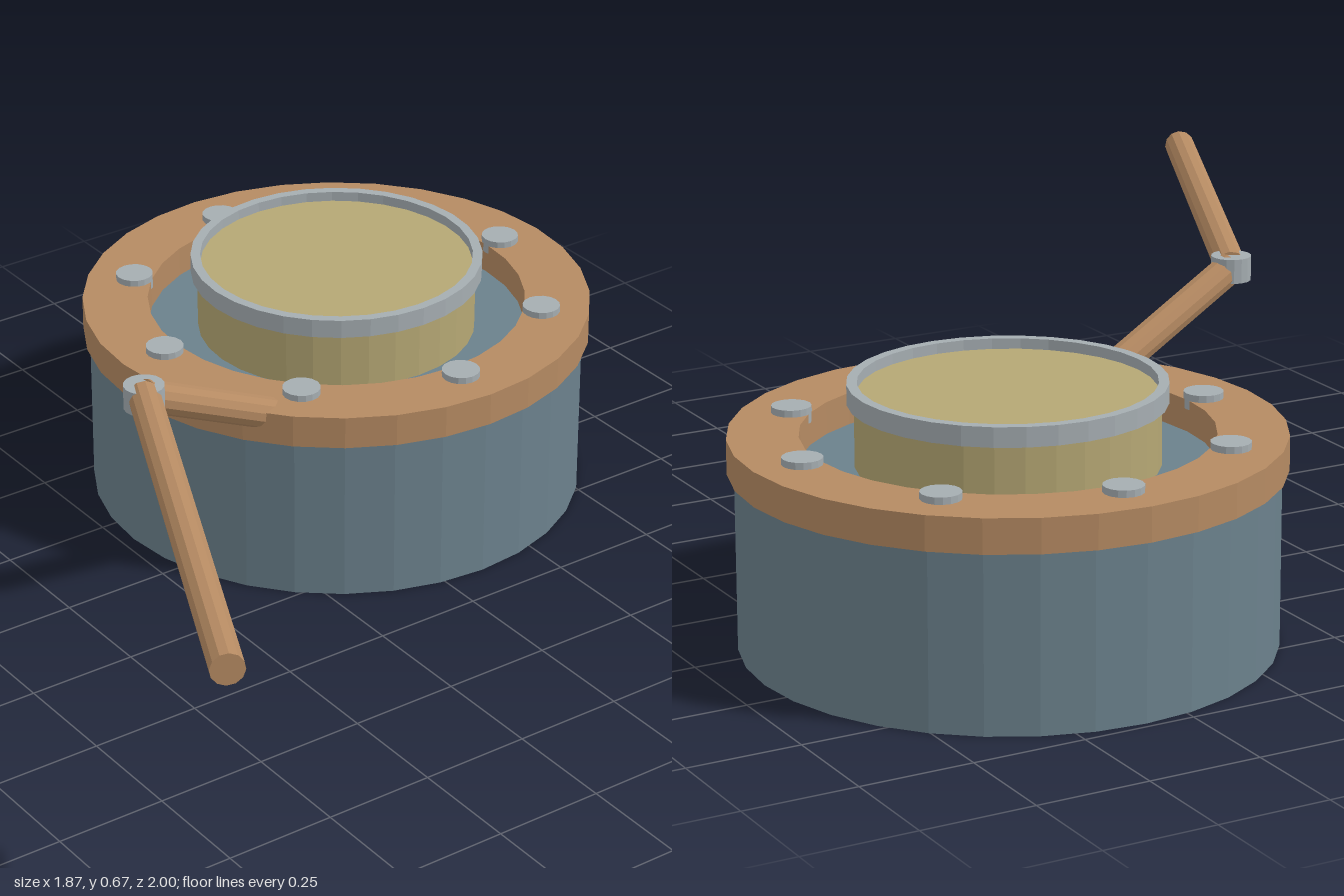
import * as THREE from 'three';

function material(name, color) {
  const m = new THREE.MeshStandardMaterial({ color, flatShading: true });
  m.name = name;
  return m;
}

export function createModel() {
  const copper = material('copper', 0xb58a62);
  const steel = material('blueSteel', 0x6b818c);
  const brass = material('brass', 0xb5a774);
  const silver = material('silver', 0xa5adb1);

  const model = new THREE.Group();
  const housing = new THREE.Group();
  housing.name = 'housing';
  housing.position.set(0.35, 0, -0.415);
  model.add(housing);

  function add(parent, name, geometry, mat, x = 0, y = 0, z = 0) {
    const mesh = new THREE.Mesh(geometry, mat);
    mesh.name = name;
    mesh.position.set(x, y, z);
    parent.add(mesh);
    return mesh;
  }

  // Solid disc between two heights
  function disc(parent, name, r, y0, y1, mat, x = 0, z = 0, sides = 32) {
    return add(parent, name, new THREE.CylinderGeometry(r, r, y1 - y0, sides), mat, x, (y0 + y1) / 2, z);
  }

  // Flat ring with a rectangular section
  function ring(name, inner, outer, y0, y1, mat) {
    const profile = [[inner, y0], [outer, y0], [outer, y1], [inner, y1], [inner, y0]]
      .map(([r, y]) => new THREE.Vector2(r, y));
    return add(housing, name, new THREE.LatheGeometry(profile, 32), mat);
  }

  // Straight rod between two points
  function rod(name, a, b, r) {
    const from = new THREE.Vector3(...a);
    const to = new THREE.Vector3(...b);
    const dir = to.clone().sub(from);
    const mesh = add(model, name, new THREE.CylinderGeometry(r, r, dir.length(), 12), copper);
    mesh.position.copy(from).add(to).multiplyScalar(0.5);
    mesh.quaternion.setFromUnitVectors(new THREE.Vector3(0, 1, 0), dir.normalize());
  }

  // Drum, flange and raised centre cap
  disc(housing, 'drum', 0.57, 0, 0.39, steel);
  ring('flange', 0.435, 0.585, 0.385, 0.46, copper);
  disc(housing, 'centreCap', 0.32, 0.385, 0.545, brass);
  ring('capRim', 0.313, 0.335, 0.525, 0.568, silver);

  // Bolts around the flange
  for (let i = 0; i < 8; i++) {
    const a = (i * Math.PI) / 4;
    disc(housing, 'bolt', 0.043, 0.44, 0.475, silver, 0.475 * Math.sin(a), 0.475 * Math.cos(a), 16);
  }

  // Jointed arm
  rod('lowerArm', [-0.43, 0.618, -0.03], [0.06, 0.365, -0.11], 0.036);
  rod('upperArm', [-0.43, 0.617, -0.03], [-0.905, 0.634, 0.98], 0.036);
  disc(model, 'elbowJoint', 0.045, 0.59, 0.645, silver, -0.43, -0.03, 16);

  return model;
}
